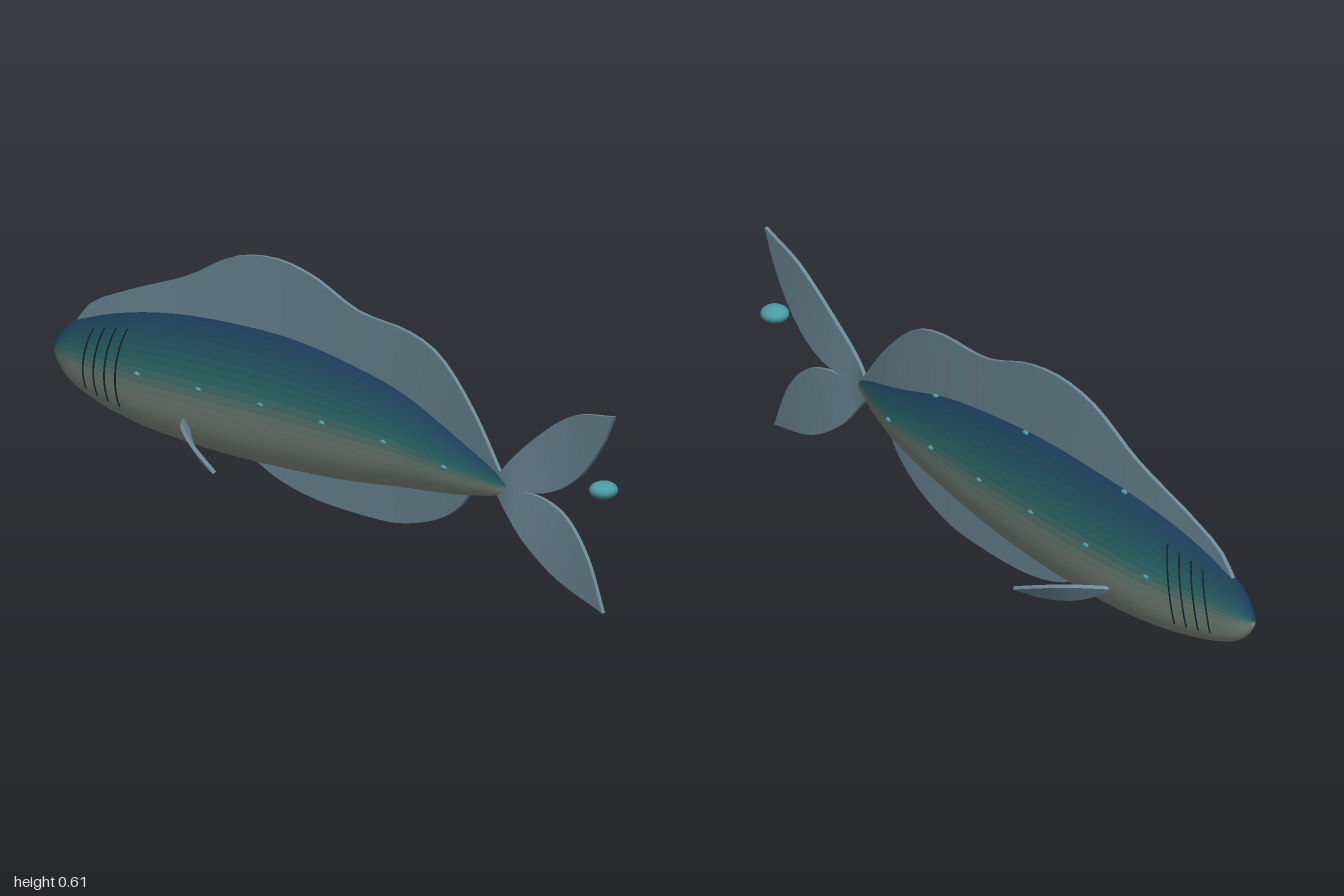
import * as THREE from 'three';
import { toCreasedNormals } from 'three/addons/utils/BufferGeometryUtils.js';

// Stations along the fish: z, centre x, centre y, half width, half height
const STATIONS = [
  [-1, -0.045, 0.225, 0.006, 0.012], [-0.985, -0.044, 0.226, 0.014, 0.036],
  [-0.95, -0.042, 0.229, 0.026, 0.07], [-0.88, -0.037, 0.23, 0.037, 0.101],
  [-0.75, -0.026, 0.235, 0.052, 0.136], [-0.6, -0.011, 0.242, 0.064, 0.158],
  [-0.4, 0.003, 0.25, 0.069, 0.169], [-0.2, 0.012, 0.258, 0.069, 0.167],
  [0, 0.015, 0.26, 0.065, 0.15], [0.2, 0.014, 0.26, 0.056, 0.12],
  [0.4, 0.004, 0.246, 0.041, 0.075], [0.5, -0.006, 0.243, 0.026, 0.05],
  [0.58, -0.017, 0.243, 0.011, 0.028], [0.61, -0.02, 0.243, 0.005, 0.016],
  [0.7, -0.01, 0.243, 0, 0], [0.8, -0.005, 0.243, 0, 0],
  [0.9, -0.01, 0.243, 0, 0], [1, -0.018, 0.243, 0, 0],
];
const interpolant = new THREE.CubicInterpolant(
  STATIONS.map(s => s[0]), STATIONS.flatMap(s => s.slice(1)), 4);
const station = z => [...interpolant.evaluate(z)];

// Point on the skin at angle a (0 = left flank, PI/2 = back)
function skin(z, a, scale = 1) {
  const [cx, cy, hw, hh] = station(z);
  return new THREE.Vector3(cx + hw * scale * Math.cos(a), cy + hh * scale * Math.sin(a), z);
}

const material = (color, side = THREE.FrontSide) =>
  new THREE.MeshStandardMaterial({ color, side });

// Grid of closed rings -> indexed geometry; cells lists the columns to include
function ringIndex(rows, n, columns) {
  const index = [];
  for (let i = 0; i < rows - 1; i++) for (const j of columns) {
    const a = i * n + j, b = i * n + (j + 1) % n;
    index.push(a, b, a + n, b, b + n, a + n);
  }
  return index;
}

// Body shaded from dark back to pale belly in narrow lengthwise bands
function makeBody() {
  const n = 48, steps = 64, points = [];
  for (let i = -1; i <= steps + 1; i++) {
    const u = THREE.MathUtils.clamp(i / steps, 0, 1);
    const z = -1 + 1.61 * u ** 1.5;
    for (let j = 0; j < n; j++)
      points.push(skin(z, -Math.PI / 2 + j / n * Math.PI * 2, i < 0 || i > steps ? 0 : 1));
  }
  const rows = steps + 3;
  const full = new THREE.BufferGeometry().setFromPoints(points);
  full.setIndex(ringIndex(rows, n, [...Array(n).keys()]));
  full.computeVertexNormals();

  const ramp = [[-1, 0x8f9a8b], [-0.25, 0x76897f], [0, 0x50786f], [0.15, 0x2f716e], [0.5, 0x235a66], [1, 0x1c3956]];
  const body = new THREE.Group();
  body.name = 'body';
  for (let k = 0; k < n / 2; k++) {
    const h = Math.sin(-Math.PI / 2 + (k + 0.5) / n * Math.PI * 2);
    const s = Math.max(1, ramp.findIndex(r => r[0] >= h));
    const [h0, c0] = ramp[s - 1], [h1, c1] = ramp[s];
    const color = new THREE.Color(c0).lerp(new THREE.Color(c1), (h - h0) / (h1 - h0));
    const band = new THREE.BufferGeometry();
    band.setAttribute('position', full.attributes.position);
    band.setAttribute('normal', full.attributes.normal);
    band.setIndex(ringIndex(rows, n, [k, n - 1 - k]));
    const mesh = new THREE.Mesh(band, material(color));
    mesh.name = 'bodyBand';
    body.add(mesh);
  }
  return body;
}

// Thin fin spanning two smooth edges; flat fins on the midline follow the spine
function makeFin(name, edgeA, edgeB, normal, onSpine) {
  const steps = 36, t = 0.005, points = [];
  const curveA = new THREE.CatmullRomCurve3(edgeA), curveB = new THREE.CatmullRomCurve3(edgeB);
  for (let i = 0; i <= steps; i++) {
    const [a, b] = [curveA, curveB].map(c => c.getPointAt(i / steps));
    if (onSpine) for (const p of [a, b]) p.x = station(p.z)[0];
    for (const [p, s] of [[a, t], [b, t], [b, -t], [a, -t]])
      points.push(p.clone().addScaledVector(normal, s));
  }
  const geometry = new THREE.BufferGeometry().setFromPoints(points);
  geometry.setIndex(ringIndex(steps + 1, 4, [0, 1, 2, 3]));
  const mesh = new THREE.Mesh(toCreasedNormals(geometry, 0.6), material(0x6c8997, THREE.DoubleSide));
  mesh.name = name;
  return mesh;
}

const X = new THREE.Vector3(1, 0, 0);
const flat = pairs => pairs.map(([z, y]) => new THREE.Vector3(0, y, z));
const midFin = (name, a, b) => makeFin(name, flat(a), flat(b), X, true);

function makeBead(name, position, rx, ry, rz, segments = 10) {
  const mesh = new THREE.Mesh(new THREE.SphereGeometry(1, segments, Math.round(segments * 0.7)), material(0x4c9ca3));
  mesh.scale.set(rx, ry, rz);
  mesh.position.copy(position);
  mesh.name = name;
  return mesh;
}

export function createModel() {
  const model = new THREE.Group();
  model.name = 'fish';
  model.add(makeBody());

  // Fins on the midline
  model.add(
    midFin('dorsalFin',
      [[0.6, 0.26], [0.46, 0.41], [0.33, 0.51], [0.22, 0.54], [0.03, 0.55], [-0.13, 0.6], [-0.26, 0.615],
        [-0.4, 0.59], [-0.56, 0.505], [-0.77, 0.42], [-0.88, 0.365], [-0.94, 0.29]],
      [[0.59, 0.243], [0.3, 0.3], [-0.2, 0.35], [-0.7, 0.3], [-0.93, 0.26]]),
    midFin('analFin',
      [[0.46, 0.19], [0.42, 0.145], [0.33, 0.09], [0.19, 0.046], [0.1, 0.036], [-0.13, 0.036], [-0.26, 0.06], [-0.4, 0.12]],
      [[0.45, 0.21], [0.1, 0.18], [-0.39, 0.15]]),
    midFin('upperTailLobe',
      [[0.57, 0.26], [0.7, 0.385], [0.835, 0.475], [1, 0.515]],
      [[0.57, 0.238], [0.66, 0.243], [0.755, 0.262], [0.86, 0.325], [0.95, 0.425], [1, 0.515]]),
    midFin('lowerTailLobe',
      [[0.57, 0.245], [0.65, 0.244], [0.73, 0.24], [0.81, 0.21], [0.89, 0.13], [0.955, 0.002]],
      [[0.57, 0.22], [0.61, 0.18], [0.675, 0.11], [0.78, 0.045], [0.955, 0.002]]));

  for (const side of [1, -1]) {
    const label = side > 0 ? 'left' : 'right';

    // Swept pectoral fin
    const place = list => list.map(([x, y, z]) => new THREE.Vector3(side * x, y, z));
    model.add(makeFin(label + 'PectoralFin',
      place([[0.05, 0.16, -0.53], [0.1, 0.158, -0.48], [0.14, 0.138, -0.4], [0.165, 0.098, -0.29]]),
      place([[0.05, 0.145, -0.52], [0.09, 0.11, -0.45], [0.13, 0.093, -0.36], [0.165, 0.098, -0.29]]),
      new THREE.Vector3(side * 0.69, -0.555, -0.465)));

    // Light organs along the flank
    for (let i = 0; i < 6; i++) {
      const p = skin(-0.67 + i * 0.214, side > 0 ? 0.02 : Math.PI - 0.02);
      model.add(makeBead(label + 'FlankLight', p, 0.006, 0.006, 0.011));
    }

    // Gill slits
    for (let i = 0; i < 4; i++) {
      const path = [];
      for (let k = 0; k <= 10; k++) {
        const a = THREE.MathUtils.lerp(0.84, -0.8, k / 10);
        const z = -0.722 - i * 0.04 - 0.028 * Math.sin(k / 10 * 2);
        path.push(skin(z, side > 0 ? a : Math.PI - a));
      }
      const slit = new THREE.Mesh(
        new THREE.TubeGeometry(new THREE.CatmullRomCurve3(path), 24, 0.0025, 6), material(0x10262c));
      slit.name = label + 'GillSlit';
      model.add(slit);
    }
  }

  // Light organs beside the dorsal fin
  for (const z of [0.235, -0.145, -0.53])
    model.add(makeBead('backLight', skin(z, 1.4), 0.006, 0.006, 0.011));

  // Glowing lure behind the tail
  model.add(makeBead('lure', new THREE.Vector3(-0.001, 0.31, 0.94), 0.036, 0.022, 0.036, 16));
  return model;
}
